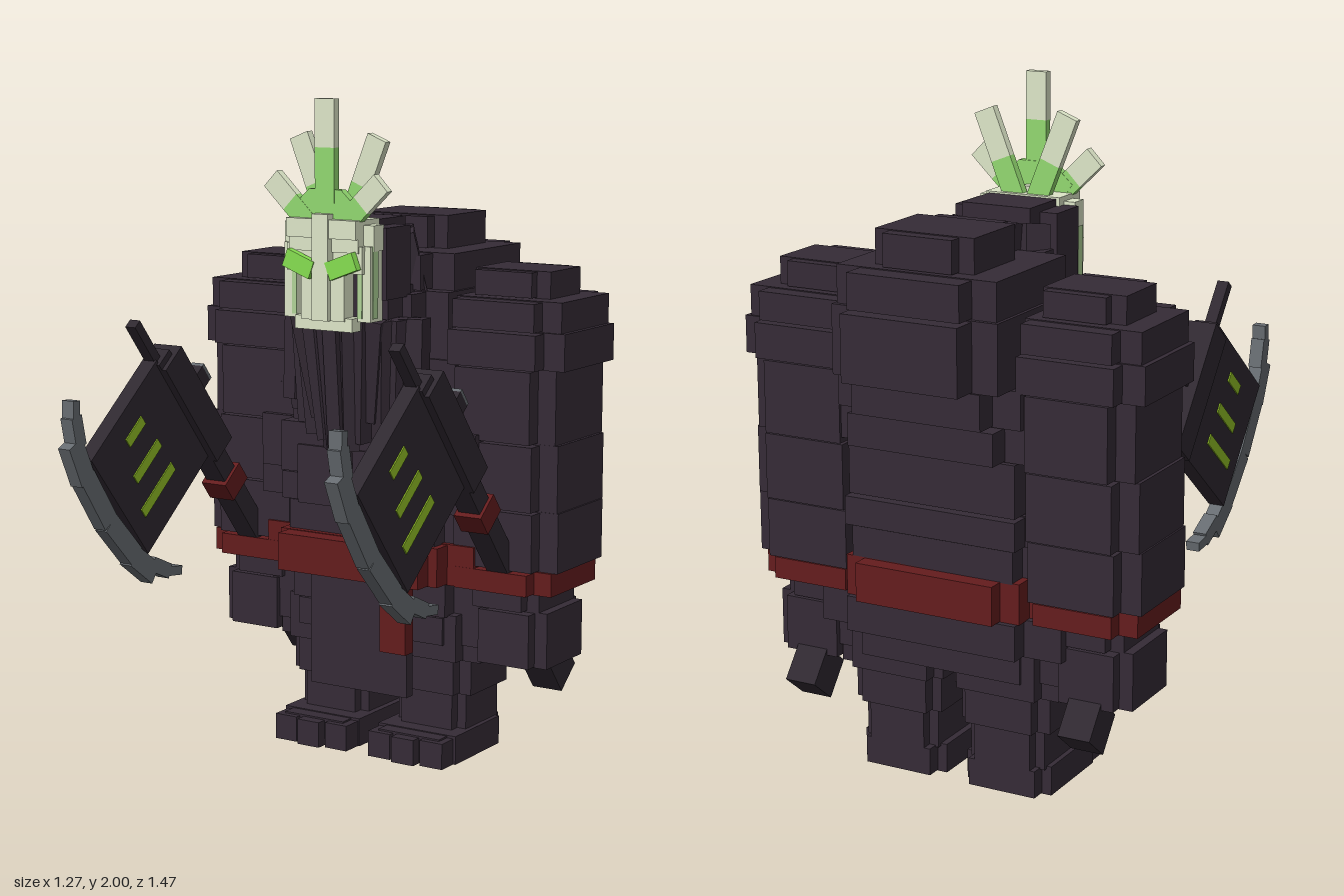
import * as THREE from 'three';

const mat = (name, color) => {
  const m = new THREE.MeshStandardMaterial({ color });
  m.name = name;
  return m;
};

export function createModel() {
  const fur = mat('dark fur', 0x352b36);
  const wood = mat('dark axe wood', 0x2f2830);
  const red = mat('red cloth', 0x641c1d);
  const bone = mat('pale bone', 0xdde6c8);
  const green = mat('feather green', 0x92d870);
  const paleGreen = mat('pale green bone', 0xb0d498);
  const eyeGreen = mat('eye green', 0x86de50);
  const lime = mat('rune lime', 0x92c026);
  const steel = mat('blade steel', 0x666b70);

  const group = (name, parent) => {
    const g = new THREE.Group();
    g.name = name;
    parent.add(g);
    return g;
  };
  // Box given by its limits
  const box = (parent, name, m, x0, x1, y0, y1, z0, z1) => {
    const b = new THREE.Mesh(new THREE.BoxGeometry(Math.abs(x1 - x0), y1 - y0, z1 - z0), m);
    b.position.set((x0 + x1) / 2, (y0 + y1) / 2, (z0 + z1) / 2);
    b.name = name;
    parent.add(b);
  };
  // Box running from point a to point b
  const bar = (parent, name, m, a, b, w, d) => {
    const p = new THREE.Vector3(...a), q = new THREE.Vector3(...b);
    const dir = q.clone().sub(p), len = dir.length();
    const mesh = new THREE.Mesh(new THREE.BoxGeometry(w, len, d), m);
    mesh.position.copy(p).add(q).multiplyScalar(0.5);
    mesh.quaternion.setFromUnitVectors(new THREE.Vector3(0, 1, 0), dir.normalize());
    mesh.name = name;
    parent.add(mesh);
  };
  // Slab with stepped corners, made of two crossing boxes
  const tier = (parent, name, m, x0, x1, y0, y1, z0, z1, in0, in1) => {
    const inZ = (z1 - z0) * 0.13, d = Math.sign(x1 - x0);
    box(parent, name, m, x0, x1, y0, y1, z0 + inZ, z1 - inZ);
    box(parent, name, m, x0 + d * in0, x1 - d * in1, y0 + 0.003, y1 - 0.003, z0, z1);
  };
  // Flat plate cut to an outline mirrored in x
  const plate = (parent, name, m, half, z, depth) => {
    const pts = [...half, ...half.map(([x, y]) => [-x, y]).reverse()];
    const shape = new THREE.Shape(pts.map(([x, y]) => new THREE.Vector2(x, y)));
    const mesh = new THREE.Mesh(new THREE.ExtrudeGeometry(shape, { depth, bevelEnabled: false }), m);
    mesh.position.z = z;
    mesh.name = name;
    parent.add(mesh);
  };

  const model = new THREE.Group();
  model.name = 'axeBeast';

  // Torso and hump: y0, y1, half width, back z, front z
  const torso = group('torso', model);
  [
    [1.54, 1.64, 0.155, -0.63, -0.32], [1.43, 1.54, 0.25, -0.71, -0.17],
    [1.23, 1.43, 0.26, -0.735, -0.11], [1.12, 1.23, 0.29, -0.65, -0.11],
    [1.02, 1.12, 0.33, -0.63, -0.1], [0.86, 1.02, 0.38, -0.57, -0.085],
    [0.77, 0.86, 0.39, -0.585, -0.1], [0.67, 0.77, 0.37, -0.57, -0.12],
    [0.45, 0.56, 0.39, -0.585, -0.16], [0.36, 0.45, 0.37, -0.53, -0.17],
  ].forEach(([y0, y1, h, zb, zf]) => tier(torso, 'torsoTier', fur, -h, h, y0, y1, zb, zf, h * 0.3, h * 0.3));
  box(torso, 'bellyFlap', fur, -0.2, 0.2, 0.77, 0.95, -0.1, -0.075);
  box(torso, 'bellyTuft', fur, -0.02, 0.02, 0.72, 0.78, -0.12, -0.09);

  // Belt, front and back plates, hanging strip and loincloth
  const belt = group('belt', model);
  tier(belt, 'beltBand', red, -0.37, 0.37, 0.555, 0.68, -0.57, -0.1, 0.09, 0.09);
  box(belt, 'frontPlate', red, -0.25, 0.25, 0.56, 0.675, -0.19, -0.04);
  box(belt, 'backPlate', red, -0.22, 0.22, 0.56, 0.675, -0.62, -0.53);
  box(belt, 'hangingStrip', red, 0.13, 0.22, 0.36, 0.66, -0.065, -0.02);
  box(belt, 'loincloth', fur, -0.175, 0.17, 0.2, 0.56, -0.145, -0.11);

  // Head and neck
  const head = group('head', model);
  box(head, 'neck', fur, -0.15, 0.15, 1.15, 1.45, -0.3, -0.03);
  box(head, 'skullTop', fur, -0.11, 0.11, 1.42, 1.65, -0.19, 0);
  box(head, 'skull', fur, -0.165, 0.165, 1.42, 1.63, -0.13, 0.003);
  bar(head, 'nape', fur, [0, 1.61, -0.22], [0, 1.36, -0.3], 0.2, 0.07);
  for (const s of [-1, 1]) bar(head, 'napeSide', fur, [s * 0.1, 1.6, -0.17], [s * 0.14, 1.3, -0.24], 0.08, 0.09);

  // Beard of tapering strands, flaring at the sides
  const beard = group('beard', model);
  for (let i = -3; i <= 3; i++) {
    const a = Math.abs(i);
    bar(beard, 'frontStrand', fur, [i * 0.042, 1.36, 0.03 - a * 0.008],
      [i * 0.026, 0.9 + a * 0.045 + (a % 2) * 0.02, -0.01 - a * 0.008], 0.046, 0.06);
  }
  for (const s of [-1, 1]) {
    for (let i = 0; i < 4; i++) {
      bar(beard, 'sideStrand', fur, [s * (0.125 + i * 0.028), 1.36, -0.03 - i * 0.025],
        [s * (0.105 + i * 0.035), 1.0 + i * 0.03, -0.06 - i * 0.012], 0.05, 0.08);
    }
  }

  // Bone mask with slit cheeks
  const mask = group('mask', model);
  box(mask, 'maskBack', fur, -0.13, 0.13, 1.36, 1.6, 0, 0.04);
  box(mask, 'browCap', bone, -0.12, 0.12, 1.6, 1.655, -0.03, 0.1);
  box(mask, 'browBand', bone, -0.155, 0.155, 1.565, 1.64, 0, 0.055);
  box(mask, 'browFront', bone, -0.12, 0.12, 1.56, 1.62, 0.04, 0.085);
  box(mask, 'nose', bone, -0.028, 0.028, 1.36, 1.67, 0.02, 0.105);
  box(mask, 'chin', bone, -0.1, 0.1, 1.33, 1.37, 0, 0.085);
  for (const s of [-1, 1]) {
    box(mask, 'cheek', bone, s * 0.105, s * 0.15, 1.36, 1.58, 0, 0.065);
    box(mask, 'cheekBar', bone, s * 0.028, s * 0.075, 1.36, 1.51, 0.02, 0.09);
    box(mask, 'cheekStripe', paleGreen, s * 0.106, s * 0.122, 1.37, 1.5, 0.06, 0.068);
    box(mask, 'templeStripe', paleGreen, s * 0.148, s * 0.153, 1.37, 1.58, 0.028, 0.055);
    box(mask, 'eyeSocket', bone, s * 0.03, s * 0.13, 1.5, 1.58, 0.02, 0.08);
    bar(mask, 'eye', eyeGreen, [s * 0.028, 1.505, 0.096], [s * 0.12, 1.54, 0.096], 0.054, 0.024);
  }

  // Feather crest: tilt, root y, colour change, tip, z
  const crest = group('crest', model);
  [[0, 1.62, 0.24, 0.38, 0.066], [0.38, 1.55, 0.215, 0.365, -0.002], [-0.38, 1.55, 0.215, 0.365, -0.002],
    [0.8, 1.58, 0.17, 0.265, 0.064], [-0.8, 1.58, 0.17, 0.265, 0.064]].forEach(([t, y, c, e, z]) => {
    const at = (r) => [Math.sin(t) * r, y + Math.cos(t) * r, z];
    bar(crest, 'featherBase', green, at(0.08), at(c), 0.066, 0.026);
    bar(crest, 'featherTip', bone, at(c), at(e), 0.066, 0.026);
  });
  plate(crest, 'crestFan', green, [[0.1, 1.65], [0.12, 1.68], [0.055, 1.74]], 0.05, 0.026);

  for (const s of [-1, 1]) {
    const side = s > 0 ? 'left' : 'right';

    // Arm tiers: y0, y1, inner x, outer x, back z, front z
    const arm = group(side + 'Arm', model);
    [
      [1.42, 1.5, 0.3, 0.55, -0.5, -0.25], [1.33, 1.42, 0.27, 0.62, -0.57, -0.17],
      [1.22, 1.33, 0.26, 0.635, -0.58, -0.16], [1.0, 1.22, 0.28, 0.605, -0.57, -0.17],
      [0.8, 1.0, 0.28, 0.615, -0.56, -0.17], [0.62, 0.8, 0.28, 0.62, -0.55, -0.17],
      [0.55, 0.62, 0.29, 0.605, -0.54, -0.16, red], [0.49, 0.55, 0.33, 0.55, -0.5, -0.2],
      [0.32, 0.49, 0.35, 0.578, -0.5, -0.2],
    ].forEach(([y0, y1, xi, xo, zb, zf, m = fur]) =>
      tier(arm, m === red ? 'armBand' : 'armTier', m, s * xi, s * xo, y0, y1, zb, zf, 0.015, (xo - xi) * 0.18));

    // Leg and foot with three toes
    const leg = group(side + 'Leg', model);
    tier(leg, 'thigh', fur, s * 0.02, s * 0.36, 0.31, 0.46, -0.52, -0.18, 0.03, 0.06);
    tier(leg, 'knee', fur, s * 0.035, s * 0.32, 0.2, 0.32, -0.5, -0.2, 0.03, 0.04);
    tier(leg, 'shin', fur, s * 0.055, s * 0.295, 0.08, 0.2, -0.48, -0.22, 0.03, 0.03);
    tier(leg, 'foot', fur, s * 0.035, s * 0.31, 0, 0.088, -0.48, -0.12, 0.03, 0.03);
    for (let i = 0; i < 3; i++) {
      const x = 0.04 + i * 0.092;
      box(leg, 'toe', fur, s * x, s * (x + 0.078), 0, 0.08, -0.2, i === 1 ? -0.085 : -0.1);
    }

    // Axe, its handle along local y and its blade towards local z
    const axe = group(side + 'Axe', model);
    axe.position.set(s * 0.45, 0.815, -0.04);
    axe.rotation.x = 0.68;
    box(axe, 'handle', wood, -0.035, 0.035, -0.7, 0.55, -0.035, 0.03);
    box(axe, 'handleButt', wood, -0.05, 0.05, -0.77, -0.65, -0.06, 0.05);
    box(axe, 'handleWrap', red, -0.045, 0.045, -0.035, 0.035, -0.05, 0.045);
    box(axe, 'collar', wood, -0.05, 0.05, 0.13, 0.53, -0.07, 0.03);
    box(axe, 'axeHead', wood, -0.025, 0.025, 0.15, 0.56, 0.02, 0.42);
    box(axe, 'topSpike', wood, -0.018, 0.018, 0.54, 0.7, -0.005, 0.025);
    box(axe, 'backSpike', wood, -0.022, 0.022, 0.32, 0.38, -0.13, -0.05);
    box(axe, 'backSpikeTip', steel, -0.022, 0.022, 0.32, 0.38, -0.14, -0.13);
    [[0.475, 0.18, 0.275], [0.366, 0.17, 0.32], [0.262, 0.17, 0.36]].forEach(([y, a, b]) => {
      for (const f of [-1, 1]) box(axe, 'rune', lime, f * 0.024, f * 0.029, y - 0.016, y + 0.016, a, b);
    });
    // Curved edge in overlapping segments: start, end, width
    [
      [[0.735, 0.35], [0.69, 0.39], 0.028], [[0.7, 0.38], [0.62, 0.42], 0.045],
      [[0.645, 0.432], [0.52, 0.464], 0.065], [[0.53, 0.458], [0.35, 0.473], 0.065],
      [[0.35, 0.473], [0.18, 0.458], 0.065], [[0.19, 0.464], [0.07, 0.432], 0.065],
      [[0.1, 0.42], [0.02, 0.38], 0.045], [[0.03, 0.39], [-0.022, 0.34], 0.028],
    ].forEach(([a, b, w]) => bar(axe, 'blade', steel, [0, ...a], [0, ...b], 0.042, w));
  }
  return model;
}
